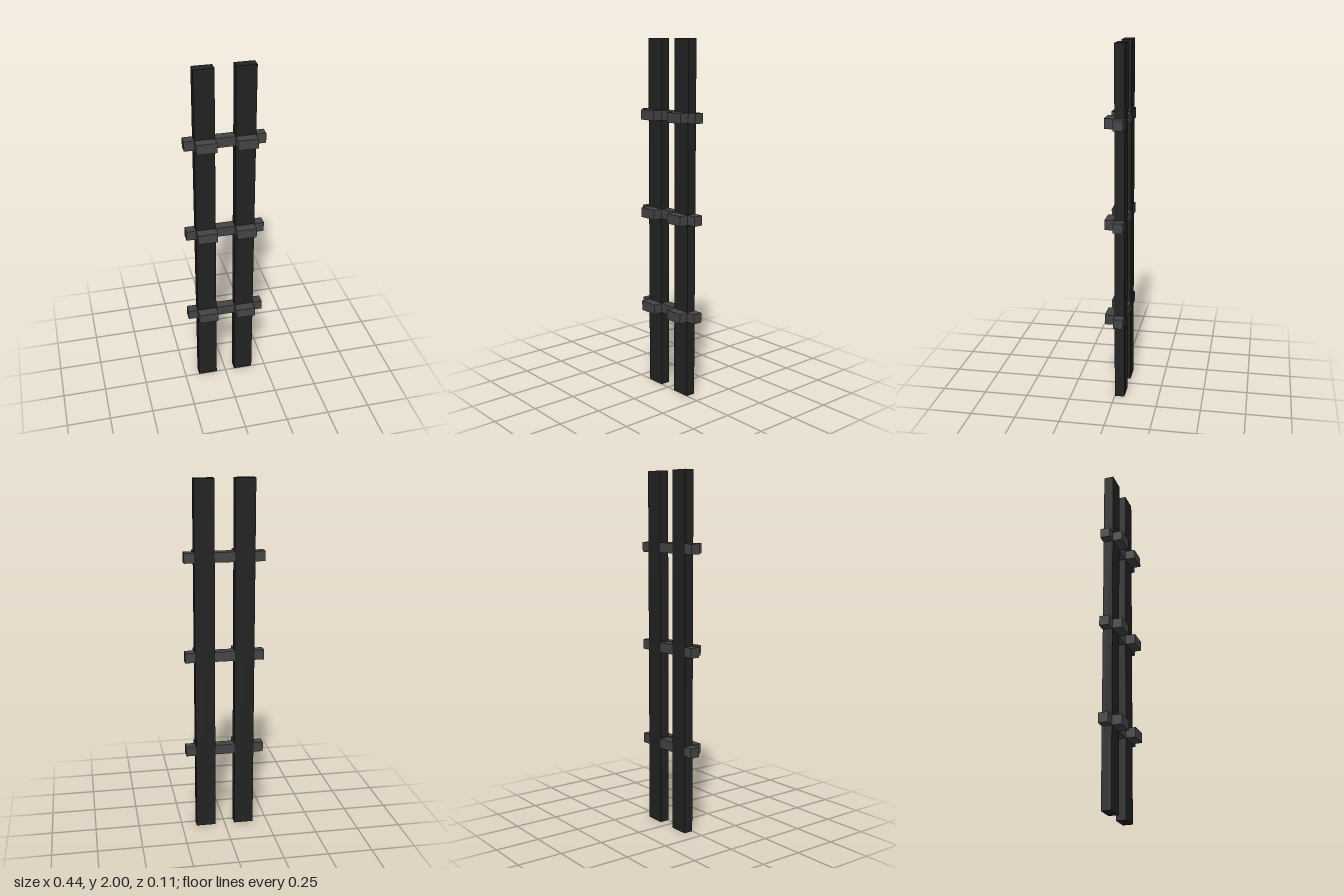
import * as THREE from 'three';

const U = 1 / 18; // base unit: thickness of every bar

export function createModel() {
  const model = new THREE.Group();
  model.name = 'ladderTrack';
  const railMaterial = new THREE.MeshStandardMaterial({ color: 0x222222 });
  railMaterial.name = 'dark rail';
  const rungMaterial = new THREE.MeshStandardMaterial({ color: 0x444444 });
  rungMaterial.name = 'grey rung';

  // Sizes and centres are given in base units
  function box(parent, name, material, w, h, d, x, y, z) {
    const mesh = new THREE.Mesh(new THREE.BoxGeometry(w * U, h * U, d * U), material);
    mesh.name = name;
    mesh.position.set(x * U, y * U, z * U);
    parent.add(mesh);
  }

  // Two upright rails
  for (const [side, s] of [['left', 1], ['right', -1]]) {
    box(model, side + 'Rail', railMaterial, 2, 36, 1, 2 * s, 18, -0.5);
  }

  // Three rungs, each split around the rails, with clamps on the rail fronts
  for (const y of [8.5, 18.5, 28.5]) {
    const rung = new THREE.Group();
    rung.name = 'rung';
    model.add(rung);
    box(rung, 'rungMiddle', rungMaterial, 2, 1, 1, 0, y, -0.5);
    for (const [side, s] of [['left', 1], ['right', -1]]) {
      box(rung, side + 'RungEnd', rungMaterial, 1, 1, 1, 3.5 * s, y, -0.5);
      box(rung, side + 'Clamp', rungMaterial, 2, 1, 1, 2 * s, y, 0.5);
    }
  }
  return model;
}
